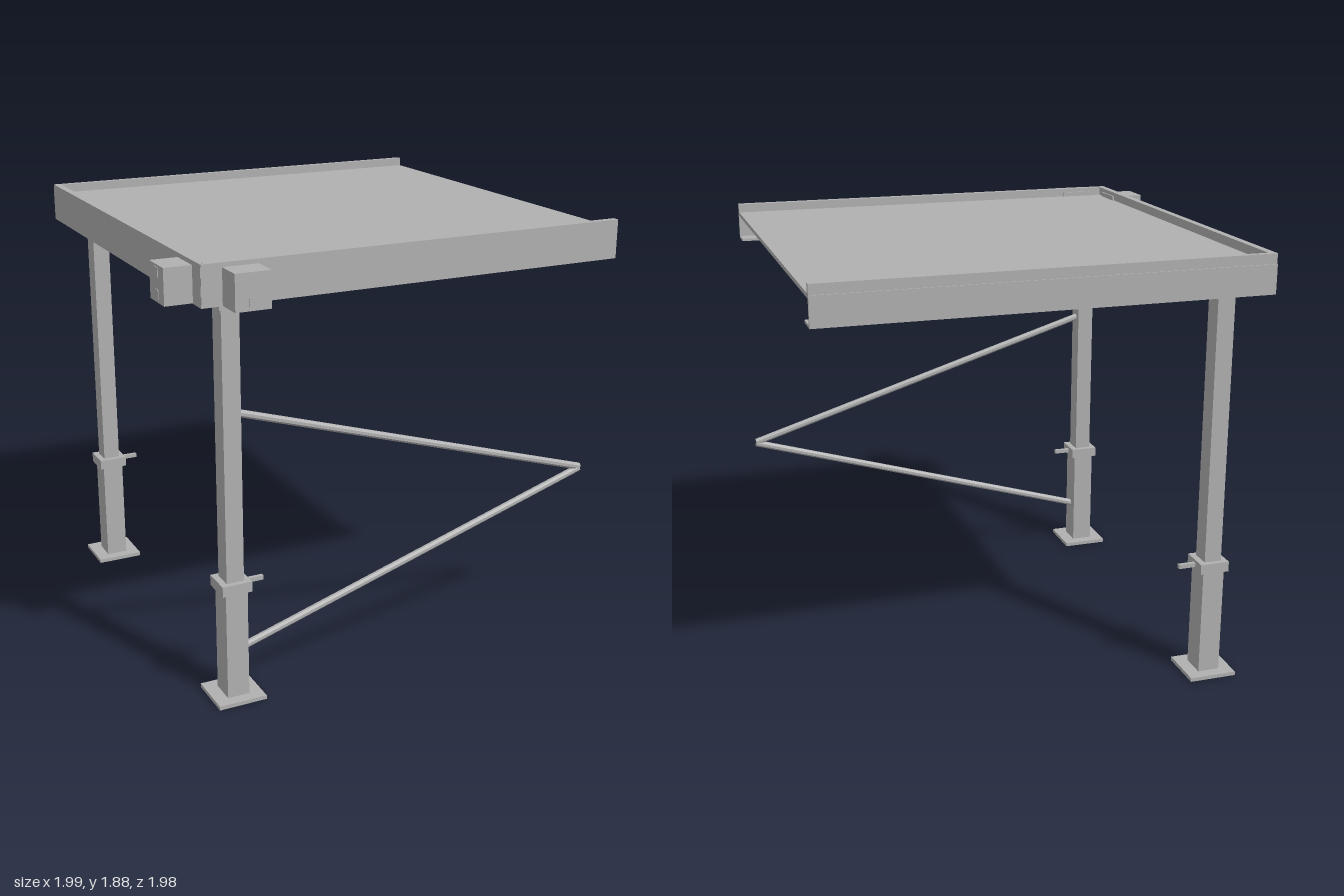
import * as THREE from 'three';

const steel = new THREE.MeshStandardMaterial({ color: 0xb0b0b0, flatShading: true });
steel.name = 'grey steel';

// Box given by its minimum and maximum corners
function box(parent, name, [x0, y0, z0], [x1, y1, z1]) {
  const m = new THREE.Mesh(new THREE.BoxGeometry(x1 - x0, y1 - y0, z1 - z0), steel);
  m.name = name;
  m.position.set((x0 + x1) / 2, (y0 + y1) / 2, (z0 + z1) / 2);
  parent.add(m);
  return m;
}

// Box centred on the post axis, between two heights
function ring(parent, name, w, d, y0, y1) {
  return box(parent, name, [-w / 2, y0, -d / 2], [w / 2, y1, d / 2]);
}

// Straight eight-sided bar between two points
function bar(parent, name, a, b, r) {
  const from = new THREE.Vector3(...a), to = new THREE.Vector3(...b);
  const dir = to.clone().sub(from);
  const g = new THREE.CylinderGeometry(r, r, dir.length(), 8).rotateY(Math.PI / 8);
  const m = new THREE.Mesh(g, steel);
  m.name = name;
  m.position.copy(from).add(to).multiplyScalar(0.5);
  m.quaternion.setFromUnitVectors(new THREE.Vector3(0, 1, 0), dir.normalize());
  parent.add(m);
}

// Telescopic post with foot, clamp, handle and head plate
function makePost(name, x, z) {
  const p = new THREE.Group();
  p.name = name;
  p.position.set(x, 0, z);
  ring(p, 'basePlate', 0.21, 0.21, 0, 0.017);
  ring(p, 'lowerSleeve', 0.096, 0.112, 0.017, 0.49);
  ring(p, 'collar', 0.13, 0.132, 0.485, 0.53);
  ring(p, 'upperPost', 0.076, 0.086, 0.5, 1.7);
  box(p, 'clampHandle', [0.06, 0.498, -0.009], [0.14, 0.516, 0.009]);
  box(p, 'headPlate', [-0.068, 1.698, -0.06], [0.052, 1.715, 0.1]);
  box(p, 'headPlateLip', [-0.068, 1.683, 0.055], [-0.05, 1.7, 0.1]);
  ring(p, 'topBlock', 0.14, 0.14, 1.715, 1.77);
  return p;
}

// Beam fixing block with two small plates on its outer face (local +z)
function makeBlock(name) {
  const b = new THREE.Group();
  b.name = name;
  box(b, 'blockBody', [-0.073, 1.715, -0.078], [0.073, 1.86, 0.074]);
  for (const y of [1.748, 1.832]) {
    box(b, 'blockPlate', [-0.018, y - 0.018, 0.074], [0.018, y + 0.018, 0.077]);
  }
  return b;
}

export function createModel() {
  const model = new THREE.Group();
  model.name = 'platform';

  // Posts
  model.add(makePost('frontPost', -0.718, 0.718), makePost('backPost', -0.718, -0.842));

  // Side braces meeting at a point
  bar(model, 'upperBrace', [-0.685, 1.237, 0.718], [0.993, 0.722, 0.718], 0.016);
  bar(model, 'lowerBrace', [-0.675, 0.208, 0.718], [0.993, 0.716, 0.718], 0.016);

  // Deck sheet and middle joist
  box(model, 'deck', [-0.86, 1.822, -0.985], [0.998, 1.84, 0.855]);
  box(model, 'joist', [0.03, 1.77, -0.9], [0.09, 1.822, 0.78]);

  // Front channel beam
  const front = new THREE.Group();
  front.name = 'frontBeam';
  box(front, 'web', [-0.875, 1.713, 0.855], [0.998, 1.878, 0.868]);
  box(front, 'bottomFlange', [-0.86, 1.713, 0.775], [0.998, 1.724, 0.855]);
  box(front, 'rim', [-0.86, 1.84, 0.838], [0.998, 1.878, 0.855]);
  // Back channel beam, with its rim set in a little
  const back = new THREE.Group();
  back.name = 'backBeam';
  box(back, 'web', [-0.875, 1.713, -0.997], [0.998, 1.836, -0.982]);
  box(back, 'bottomFlange', [-0.86, 1.713, -0.982], [0.998, 1.724, -0.895]);
  box(back, 'rim', [-0.875, 1.836, -0.992], [0.998, 1.878, -0.968]);
  // Side channel beam
  const side = new THREE.Group();
  side.name = 'sideBeam';
  box(side, 'web', [-0.876, 1.713, -0.99], [-0.862, 1.878, 0.866]);
  box(side, 'bottomFlange', [-0.862, 1.713, -0.982], [-0.785, 1.724, 0.855]);
  box(side, 'rim', [-0.862, 1.84, -0.968], [-0.845, 1.878, 0.838]);
  model.add(front, back, side);

  // Blocks on the outside of the front right corner
  const frontBlock = makeBlock('frontBlock');
  frontBlock.position.set(-0.718, 0, 0.91);
  const sideBlock = makeBlock('sideBlock');
  sideBlock.position.set(-0.915, 0, 0.713);
  sideBlock.rotation.y = -Math.PI / 2;
  model.add(frontBlock, sideBlock);

  return model;
}
